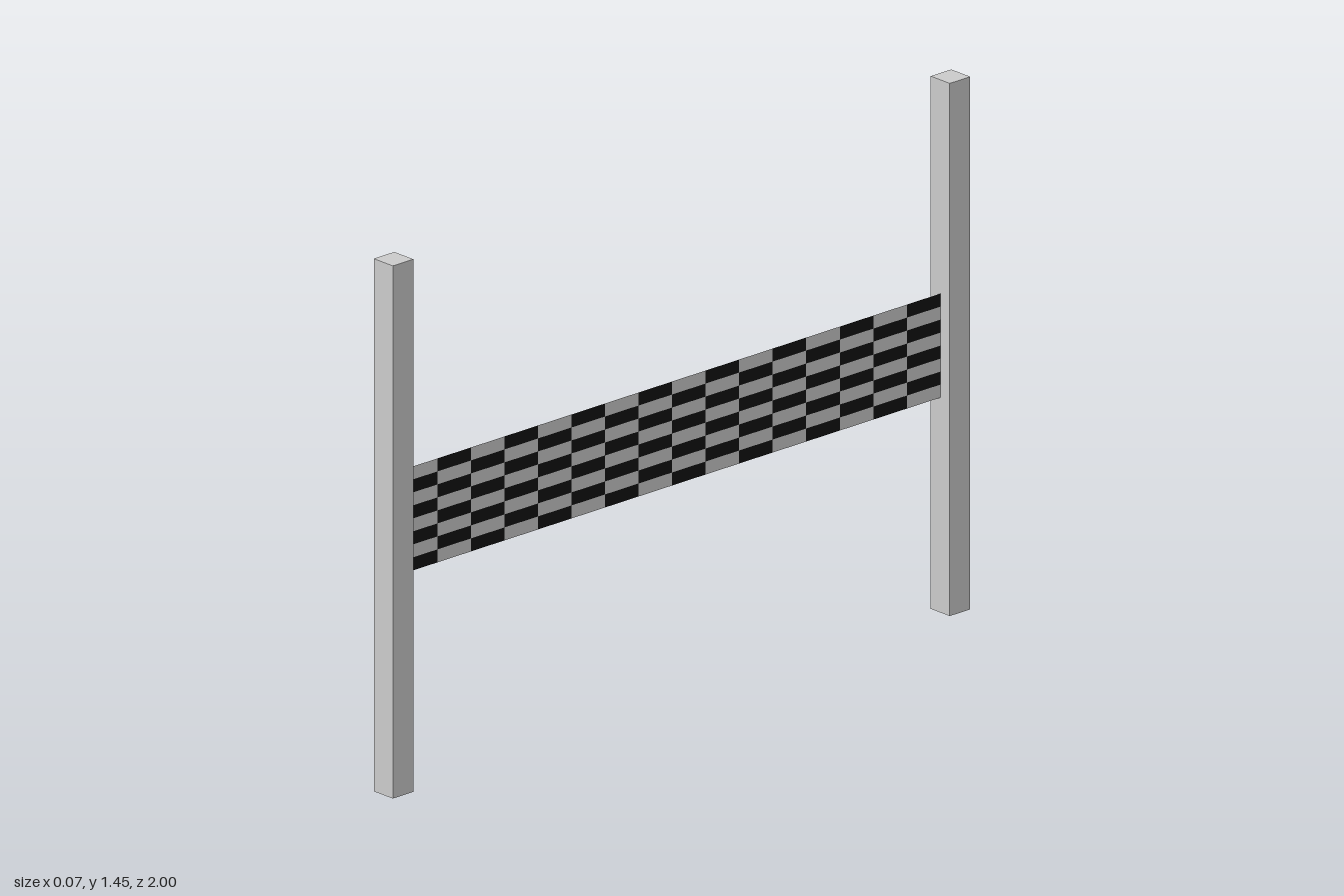
import * as THREE from 'three';
import { mergeGeometries } from 'three/addons/utils/BufferGeometryUtils.js';

const POST = 0.071, HEIGHT = 1.445;
const BOTTOM = 0.583, TOP = 0.865, COLS = 16, ROWS = 8;

const grey = new THREE.MeshStandardMaterial({ color: 0xcccccc });
const black = new THREE.MeshStandardMaterial({ color: 0x111111 });

// One printed face of the banner, facing +z, starting with a light cell at its top left
function bannerFace(name) {
  const face = new THREE.Group();
  face.name = name;
  const width = 2 - 2 * POST;
  const w = width / COLS, h = (TOP - BOTTOM) / ROWS;
  const cells = [[], []];
  for (let c = 0; c < COLS; c++) {
    for (let r = 0; r < ROWS; r++) {
      const cell = new THREE.PlaneGeometry(w, h);
      cell.translate(-width / 2 + (c + 0.5) * w, TOP - (r + 0.5) * h, 0.0005);
      cells[(c + r) % 2].push(cell);
    }
  }
  const light = new THREE.Mesh(mergeGeometries(cells[0]), grey);
  light.name = 'lightChecks';
  const dark = new THREE.Mesh(mergeGeometries(cells[1]), black);
  dark.name = 'darkChecks';
  face.add(light, dark);
  return face;
}

export function createModel() {
  const model = new THREE.Group();
  model.name = 'finishLineBanner';

  // Square posts at both ends
  for (const [name, side] of [['frontPost', 1], ['backPost', -1]]) {
    const post = new THREE.Mesh(new THREE.BoxGeometry(POST, HEIGHT, POST), grey);
    post.name = name;
    post.position.set(0, HEIGHT / 2, side * (1 - POST / 2));
    model.add(post);
  }

  // Thin checkered banner, printed alike on both sides
  for (const [name, side] of [['leftBannerFace', 1], ['rightBannerFace', -1]]) {
    const face = bannerFace(name);
    face.rotation.y = side * Math.PI / 2;
    model.add(face);
  }
  return model;
}
